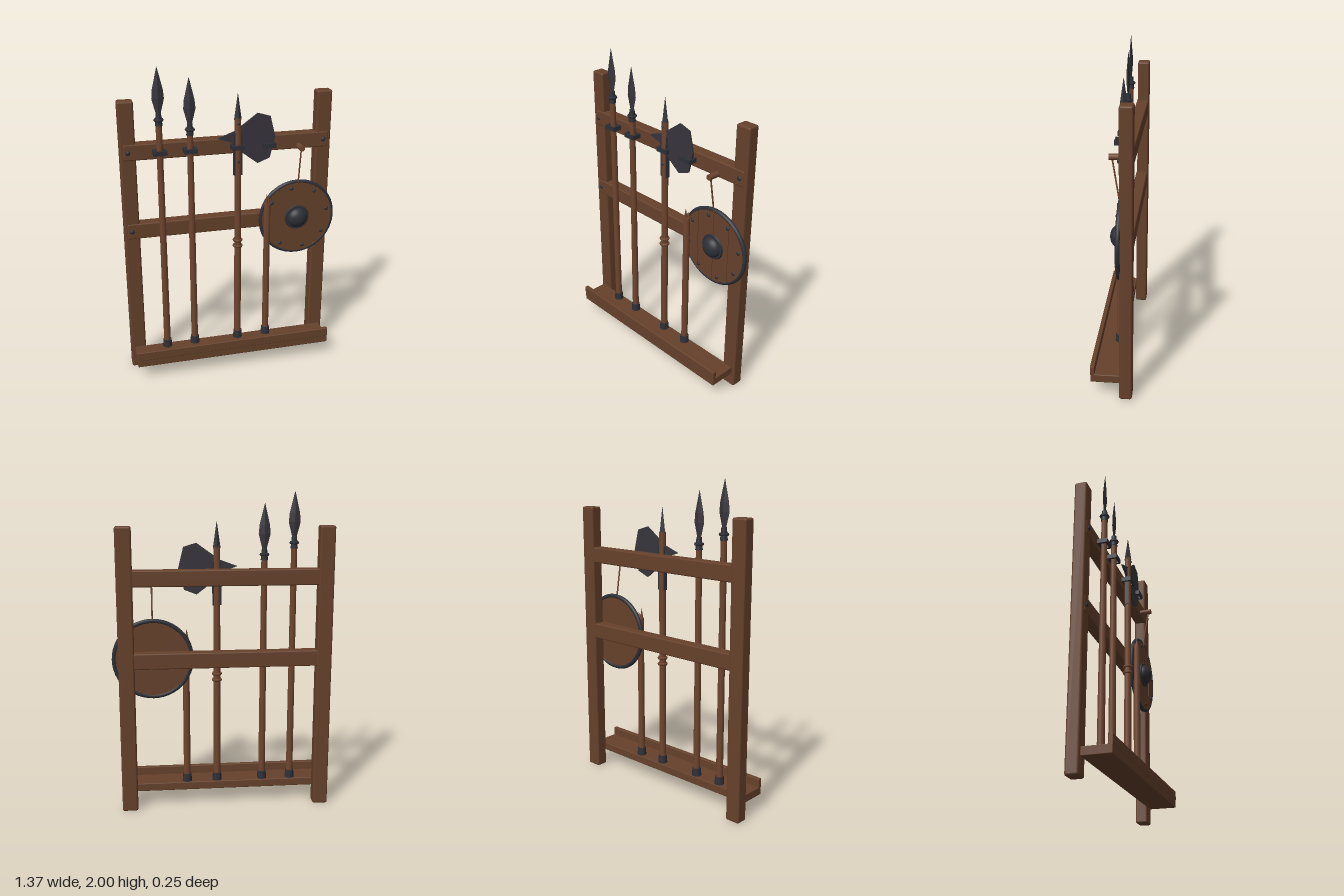
import * as THREE from 'three';
import { RoundedBoxGeometry } from 'three/addons/geometries/RoundedBoxGeometry.js';

const mat = (name, color, flatShading = false) => {
  const m = new THREE.MeshStandardMaterial({ color, flatShading });
  m.name = name;
  return m;
};

export function createModel() {
  const root = new THREE.Group();
  root.name = 'weaponRack';
  const wood = mat('frameWood', 0x66412b);
  const shaftWood = mat('shaftWood', 0x6f452f);
  const steel = mat('bladeSteel', 0x37353c, true);
  const iron = mat('darkIron', 0x2d3037);
  const Z = -0.016; // plane of the weapon shafts

  const add = (name, geo, material, x = 0, y = 0, z = 0, parent = root) => {
    const m = new THREE.Mesh(geo, material);
    m.name = name;
    m.position.set(x, y, z);
    parent.add(m);
    return m;
  };
  // Beam given by its limits on each axis
  const beam = (name, x0, x1, y0, y1, z0, z1, r = 0.008) =>
    add(name, new RoundedBoxGeometry(x1 - x0, y1 - y0, z1 - z0, 2, r), wood,
      (x0 + x1) / 2, (y0 + y1) / 2, (z0 + z1) / 2);
  const box = (name, w, h, d, material, x, y, z, parent) =>
    add(name, new THREE.BoxGeometry(w, h, d), material, x, y, z, parent);
  const rod = (name, rTop, rBottom, y0, y1, material, x, parent, sides = 12) =>
    add(name, new THREE.CylinderGeometry(rTop, rBottom, y1 - y0, sides), material, x, (y0 + y1) / 2, Z, parent);
  const stud = (name, r, x, y, z, parent) => {
    const m = add(name, new THREE.SphereGeometry(r, 10, 6), iron, x, y, z, parent);
    m.scale.z = 0.7;
    return m;
  };

  // Frame
  beam('rightPost', -0.69, -0.594, 0, 1.8, -0.127, -0.05, 0.012);
  beam('leftPost', 0.542, 0.64, 0, 1.8, -0.127, -0.05, 0.012);
  beam('upperRail', -0.67, 0.62, 1.44, 1.54, -0.122, -0.046);
  beam('middleRail', -0.67, 0.62, 0.93, 1.03, -0.122, -0.046);
  beam('shelf', -0.67, 0.62, 0.1, 0.152, -0.05, 0.125, 0.005);
  beam('shelfLip', -0.67, 0.62, 0.146, 0.206, 0.1, 0.127, 0.005);
  for (const x of [-0.642, 0.59])
    for (const y of [1.49, 0.98]) stud('railBolt', 0.015, x, y, -0.046);

  // Iron loop on the upper rail, and foot cap on the shelf
  const weaponXs = [-0.455, -0.27, 0.025, 0.22];
  for (const x of weaponXs) {
    const loop = new THREE.Group();
    loop.name = 'bracket';
    loop.position.set(x, 1.49, Z);
    box('bracketFront', 0.082, 0.028, 0.01, iron, 0, 0, 0.027, loop);
    box('bracketBack', 0.082, 0.028, 0.01, iron, 0, 0, -0.028, loop);
    for (const s of [-1, 1]) box('bracketArm', 0.014, 0.028, 0.055, iron, s * 0.034, 0, 0, loop);
    root.add(loop);
    rod('footCap', 0.027, 0.031, 0.15, 0.202, iron, x);
  }

  // Spears
  const spear = (x, tip) => {
    const g = new THREE.Group();
    g.name = 'spear';
    root.add(g);
    rod('spearShaft', 0.019, 0.022, 0.18, tip - 0.33, shaftWood, x, g);
    rod('spearSocket', 0.016, 0.023, tip - 0.345, tip - 0.27, iron, x, g);
    const collar = add('spearCollar', new THREE.TorusGeometry(0.022, 0.009, 6, 14), iron, x, tip - 0.31, Z, g);
    collar.rotation.x = Math.PI / 2;
    const profile = [[0.013, -0.31], [0.015, -0.27], [0.037, -0.185], [0.032, -0.13], [0.001, 0]]
      .map(([r, y]) => new THREE.Vector2(r, y));
    const blade = add('spearBlade', new THREE.LatheGeometry(profile, 4), steel, x, tip, Z, g);
    blade.scale.z = 0.35;
  };
  spear(weaponXs[0], 2.0);
  spear(weaponXs[1], 1.93);

  // Poleaxe
  const axe = new THREE.Group();
  axe.name = 'poleaxe';
  root.add(axe);
  const ax = weaponXs[2];
  rod('axeShaft', 0.021, 0.023, 0.18, 1.67, shaftWood, ax, axe);
  rod('axeTopSpike', 0.001, 0.024, 1.66, 1.82, steel, ax, axe, 4);
  for (const s of [-1, 1]) box('axeSideStrap', 0.008, 0.27, 0.024, iron, ax + s * 0.023, 1.445, Z, axe);
  for (const y of [0.83, 0.87]) {
    const ring = add('gripRing', new THREE.TorusGeometry(0.023, 0.01, 6, 16), shaftWood, ax, y, Z, axe);
    ring.rotation.x = Math.PI / 2;
  }
  for (const y of [1.64, 1.4]) stud('axeRivet', 0.009, ax, y, Z + 0.021, axe);
  const plate = (name, pts) => {
    const shape = new THREE.Shape(pts.map(([x, y]) => new THREE.Vector2(x, y)));
    add(name, new THREE.ExtrudeGeometry(shape, { depth: 0.012, bevelEnabled: false }), steel, 0, 0, Z - 0.006, axe);
  };
  plate('axeBlade', [[0.03, 1.46], [0.055, 1.45], [0.15, 1.378], [0.228, 1.408], [0.262, 1.54],
    [0.23, 1.67], [0.15, 1.694], [0.055, 1.625], [0.03, 1.61]]);
  plate('axeBackSpike', [[-0.103, 1.55], [0.02, 1.51], [0.02, 1.595]]);

  // Broken staff with a splintered end
  rod('brokenStaff', 0.021, 0.022, 0.18, 1.1, shaftWood, weaponXs[3]);
  for (const [dx, dz, h] of [[-0.006, 0.004, 0.065], [0.01, -0.006, 0.045], [-0.004, -0.01, 0.03]])
    add('splinter', new THREE.ConeGeometry(0.012, h, 5), shaftWood, weaponXs[3] + dx, 1.098 + h / 2, Z + dz);

  // Round shield: backing disc, planks, rim, boss and studs
  const shield = new THREE.Group();
  shield.name = 'shield';
  shield.position.set(0.427, 0.98, -0.046);
  root.add(shield);
  const R = 0.242;
  add('shieldBack', new THREE.CylinderGeometry(R, R, 0.014, 48), wood, 0, 0, 0, shield).rotation.x = Math.PI / 2;
  const seams = [-R, -0.125, 0, 0.12, R];
  for (let i = 0; i < 4; i++) {
    const x0 = seams[i] + 0.002, x1 = seams[i + 1] - 0.002;
    const pts = [];
    for (const side of [-1, 1])
      for (let k = 0; k <= 10; k++) {
        const x = side < 0 ? x0 + (x1 - x0) * k / 10 : x1 - (x1 - x0) * k / 10;
        pts.push(new THREE.Vector2(x, side * Math.sqrt(R * R - x * x)));
      }
    add('shieldPlank', new THREE.ExtrudeGeometry(new THREE.Shape(pts), { depth: 0.008, bevelEnabled: false }),
      wood, 0, 0, 0.006, shield);
  }
  add('shieldRim', new THREE.TorusGeometry(0.241, 0.014, 8, 48), iron, 0, 0, 0.002, shield);
  add('bossFlange', new THREE.CylinderGeometry(0.078, 0.083, 0.012, 32), iron, 0, 0, 0.018, shield).rotation.x = Math.PI / 2;
  const dome = add('bossDome', new THREE.SphereGeometry(0.066, 28, 10, 0, Math.PI * 2, 0, Math.PI / 2), iron, 0, 0, 0.02, shield);
  dome.rotation.x = Math.PI / 2;
  dome.scale.y = 0.72;
  for (let k = 0; k < 8; k++) {
    const a = (12 + 45 * k) * Math.PI / 180;
    stud('shieldStud', 0.013, 0.205 * Math.cos(a), 0.205 * Math.sin(a), 0.015, shield);
  }

  // Peg and cord holding the shield
  add('shieldPeg', new THREE.CylinderGeometry(0.018, 0.018, 0.085, 14), shaftWood, 0.427, 1.46, -0.015).rotation.x = Math.PI / 2;
  const cord = new THREE.LineCurve3(new THREE.Vector3(0.427, 1.46, 0.01), new THREE.Vector3(0.427, 1.2, -0.032));
  add('shieldCord', new THREE.TubeGeometry(cord, 1, 0.005, 6), shaftWood);

  return root;
}
